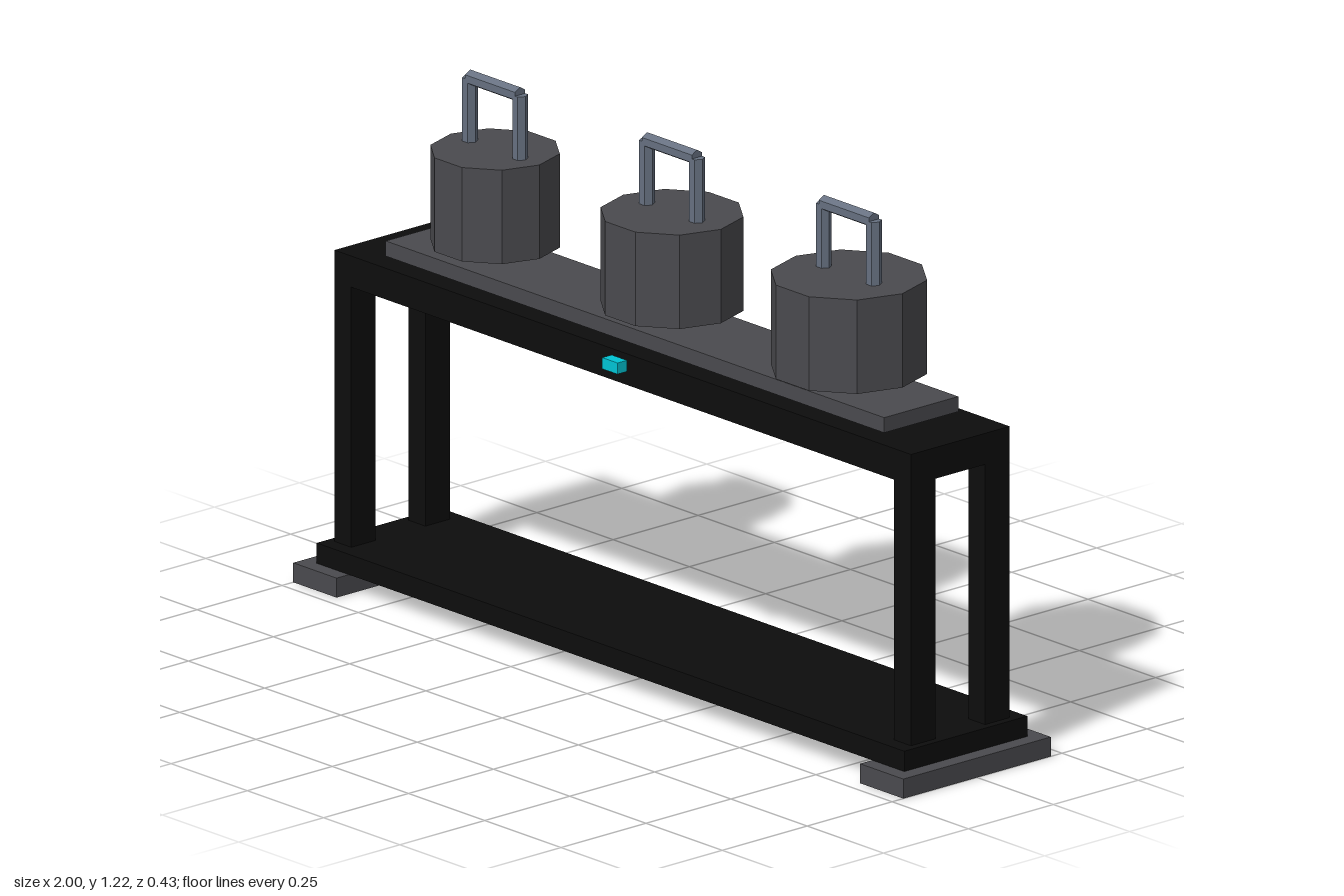
import * as THREE from 'three';

const mat = (name, color) => {
  const m = new THREE.MeshStandardMaterial({ color, flatShading: true });
  m.name = name;
  return m;
};

export function createModel() {
  const frame = mat('black frame', 0x0d0d0d);
  const iron = mat('dark iron', 0x4a4a4e);
  const steel = mat('blue steel', 0x667080);
  const cyan = mat('cyan', 0x00c4d4);

  const model = new THREE.Group();
  model.name = 'weightRack';

  // Box given by its x, y and z ranges
  const box = (name, material, [x0, x1], [y0, y1], [z0, z1]) => {
    const mesh = new THREE.Mesh(new THREE.BoxGeometry(x1 - x0, y1 - y0, z1 - z0), material);
    mesh.position.set((x0 + x1) / 2, (y0 + y1) / 2, (z0 + z1) / 2);
    mesh.name = name;
    model.add(mesh);
  };
  // Upright prism with a corner pointing along x
  const prism = (r, h, sides) => new THREE.CylinderGeometry(r, r, h, sides, 1, false, Math.PI / 2);

  // Frame: base shelf, top beam, four legs, two feet
  box('baseShelf', frame, [-0.963, 0.963], [0.045, 0.092], [-0.181, 0.181]);
  box('topBeam', frame, [-0.945, 0.945], [0.693, 0.765], [-0.145, 0.145]);
  for (const s of [-1, 1]) {
    const span = (a, b) => (s > 0 ? [a, b] : [-b, -a]);
    box('foot', iron, span(0.858, 1), [0, 0.045], [-0.217, 0.217]);
    box('frontLeg', frame, span(0.89, 0.945), [0.092, 0.693], [0.073, 0.145]);
    box('backLeg', frame, span(0.89, 0.945), [0.092, 0.693], [-0.145, -0.073]);
  }

  // Tray plate floating just above the beam, and the front marker
  box('trayPlate', iron, [-0.817, 0.817], [0.775, 0.81], [-0.109, 0.109]);
  box('marker', cyan, [-0.025, 0.025], [0.729, 0.755], [0.155, 0.183]);

  // Three ten-sided weights of growing radius, each with a handle
  [0.145, 0.16, 0.175].forEach((r, i) => {
    const weight = new THREE.Group();
    weight.name = 'weight';
    weight.position.x = (i - 1) * 0.58;
    const add = (name, geometry, material, x, y) => {
      const mesh = new THREE.Mesh(geometry, material);
      mesh.name = name;
      mesh.position.set(x, y, 0);
      weight.add(mesh);
    };
    add('weightBody', prism(r, 0.217, 10), iron, 0, 0.948);
    for (const x of [-0.082, 0.082]) add('handlePost', prism(0.0175, 0.16, 6), steel, x, 1.123);
    add('handleBar', prism(0.0175, 0.164, 6).rotateZ(Math.PI / 2), steel, 0, 1.203);
    model.add(weight);
  });

  return model;
}
